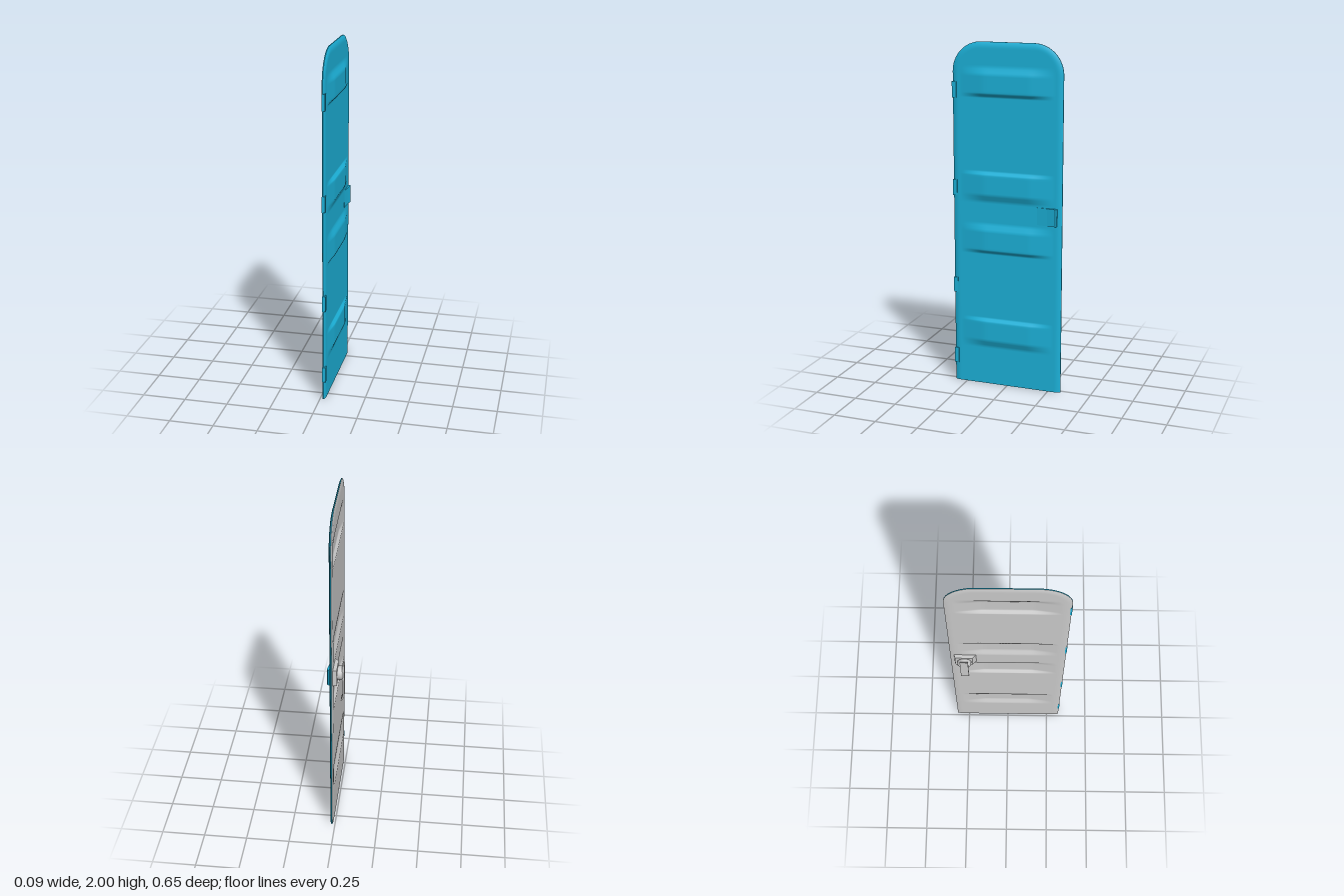
import * as THREE from 'three';

const HALF = 0.325, TOP = 2, R = 0.17;
const paint = new THREE.MeshStandardMaterial({ color: 0x1cb4dc, side: THREE.DoubleSide });
const metal = new THREE.MeshStandardMaterial({ color: 0xcccccc, side: THREE.DoubleSide });

// pressed ribs: bottom, top, and which edge is the steep one
const ribs = [
  [0.23, 0.40, true], [0.80, 0.97, false], [1.10, 1.27, true], [1.70, 1.86, false],
];
const clamp = (v) => Math.min(1, Math.max(0, v));

function ribHeight(y, z) {
  const taper = clamp((0.275 - Math.abs(z)) / 0.14);
  let h = 0;
  for (const [y0, y1, steepTop] of ribs) {
    const low = steepTop ? 0.04 : 0.011, high = steepTop ? 0.011 : 0.04;
    h = Math.max(h, Math.min(clamp((y - y0) / low), clamp((y1 - y) / high)));
  }
  return 0.015 * h * taper;
}

// distance inward from the sides and rounded top
function edgeDistance(y, z) {
  const a = Math.abs(z) - (HALF - R), b = y - (TOP - R);
  return R - (Math.hypot(Math.max(a, 0), Math.max(b, 0)) + Math.min(Math.max(a, b), 0));
}

function skinX(y, z, front) {
  const t = 1 - clamp(edgeDistance(y, z) / 0.035);
  const drop = t * t;
  return ribHeight(y, z) + (front ? 0.03 - 0.009 * drop : 0.011 + 0.005 * drop);
}

const halfWidth = (y) => {
  const b = Math.max(0, y - (TOP - R));
  return HALF - R + Math.sqrt(Math.max(0, R * R - b * b));
};

// surface from a rows x cols grid of points
function grid(rows, cols, point, flip) {
  const pos = [], idx = [];
  for (let j = 0; j <= rows; j++) for (let i = 0; i <= cols; i++) pos.push(...point(j, i));
  for (let j = 0; j < rows; j++) for (let i = 0; i < cols; i++) {
    const a = j * (cols + 1) + i, b = a + 1, c = a + cols + 1, d = c + 1;
    if (flip) idx.push(a, b, c, b, d, c);
    else idx.push(a, c, b, b, c, d);
  }
  const g = new THREE.BufferGeometry();
  g.setAttribute('position', new THREE.Float32BufferAttribute(pos, 3));
  g.setIndex(idx);
  g.computeVertexNormals();
  return g;
}

function polygon(points) {
  return new THREE.Shape(points.map(([a, b]) => new THREE.Vector2(a, b)));
}

// vertical prism from a plan outline given as [x, z]
function planPrism(points, y0, y1) {
  const g = new THREE.ExtrudeGeometry(polygon(points.map(([x, z]) => [x, -z])),
    { depth: y1 - y0, bevelEnabled: false });
  return g.rotateX(-Math.PI / 2).translate(0, y0, 0);
}

export function createModel() {
  const model = new THREE.Group();
  const add = (name, geometry, material) => {
    const mesh = new THREE.Mesh(geometry, material);
    mesh.name = name;
    model.add(mesh);
    return mesh;
  };

  // heights of the rows: even below, following the arc in the rounded top
  const ys = [];
  for (let i = 0; i < 183; i++) ys.push(i * 0.01);
  for (let i = 0; i <= 24; i++) ys.push(TOP - R + R * Math.sin((i / 24) * Math.PI / 2));
  const rows = ys.length - 1, cols = 56;

  // outer and inner skins
  const skin = (front) => grid(rows, cols, (j, i) => {
    const y = ys[j];
    const z = halfWidth(y) * Math.sin((i / cols - 0.5) * Math.PI);
    return [skinX(y, z, front), y, z];
  }, !front);
  add('outerPanel', skin(true), paint);
  add('innerPanel', skin(false), metal);

  // rim around the sides and top, then the bottom edge
  const path = ys.map((y) => [y, -halfWidth(y)]);
  path.push(...ys.map((y) => [y, halfWidth(y)]).reverse());
  const band = (points) => grid(points.length - 1, 1, (j, i) => {
    const [y, z] = points[j];
    return [skinX(y, z, i === 1), y, z];
  }, false);
  add('rim', band(path), paint);
  const bottom = [];
  for (let i = 0; i <= cols; i++) bottom.push([0, HALF * Math.sin((0.5 - i / cols) * Math.PI)]);
  add('bottomEdge', band(bottom), paint);

  // hinge leaves along the +z edge
  for (const y of [0.155, 0.59, 1.17, 1.73]) {
    const leaf = add('hinge', new THREE.BoxGeometry(0.019, 0.09, 0.026), paint);
    leaf.position.set(0.0235, y, 0.314);
  }

  // outer finger pull
  add('outerPull', planPrism([
    [0.02, -0.18], [0.031, -0.18], [0.037, -0.24], [0.045, -0.29], [0.039, -0.298], [0.02, -0.298],
  ], 0.99, 1.09), paint);

  // inner lock plate
  add('lockPlate', planPrism([
    [0.015, -0.178], [0.01, -0.18], [-0.01, -0.2], [-0.01, -0.298], [0.01, -0.303], [0.015, -0.303],
  ], 0.99, 1.09), metal);

  // handle boss turned about the x axis
  const profile = [[0, 0.04], [0.03, 0.04], [0.039, 0.031], [0.039, 0.012], [0.035, 0.008]];
  const bossGeometry = new THREE.LatheGeometry(
    profile.map(([r, h]) => new THREE.Vector2(r, h)).reverse(), 28).rotateZ(Math.PI / 2);
  add('handleBoss', bossGeometry, metal).position.set(0, 1.042, -0.246);

  // lever with its lower end bent towards the door
  const lever = new THREE.ExtrudeGeometry(polygon([
    [-0.036, 1.1], [-0.04, 1.105], [-0.045, 1.105], [-0.048, 1.1], [-0.048, 0.895],
    [-0.034, 0.869], [-0.028, 0.871], [-0.038, 0.9],
  ]), { depth: 0.046, bevelEnabled: false });
  add('handleLever', lever.translate(0, 0, -0.269), metal);

  return model;
}
